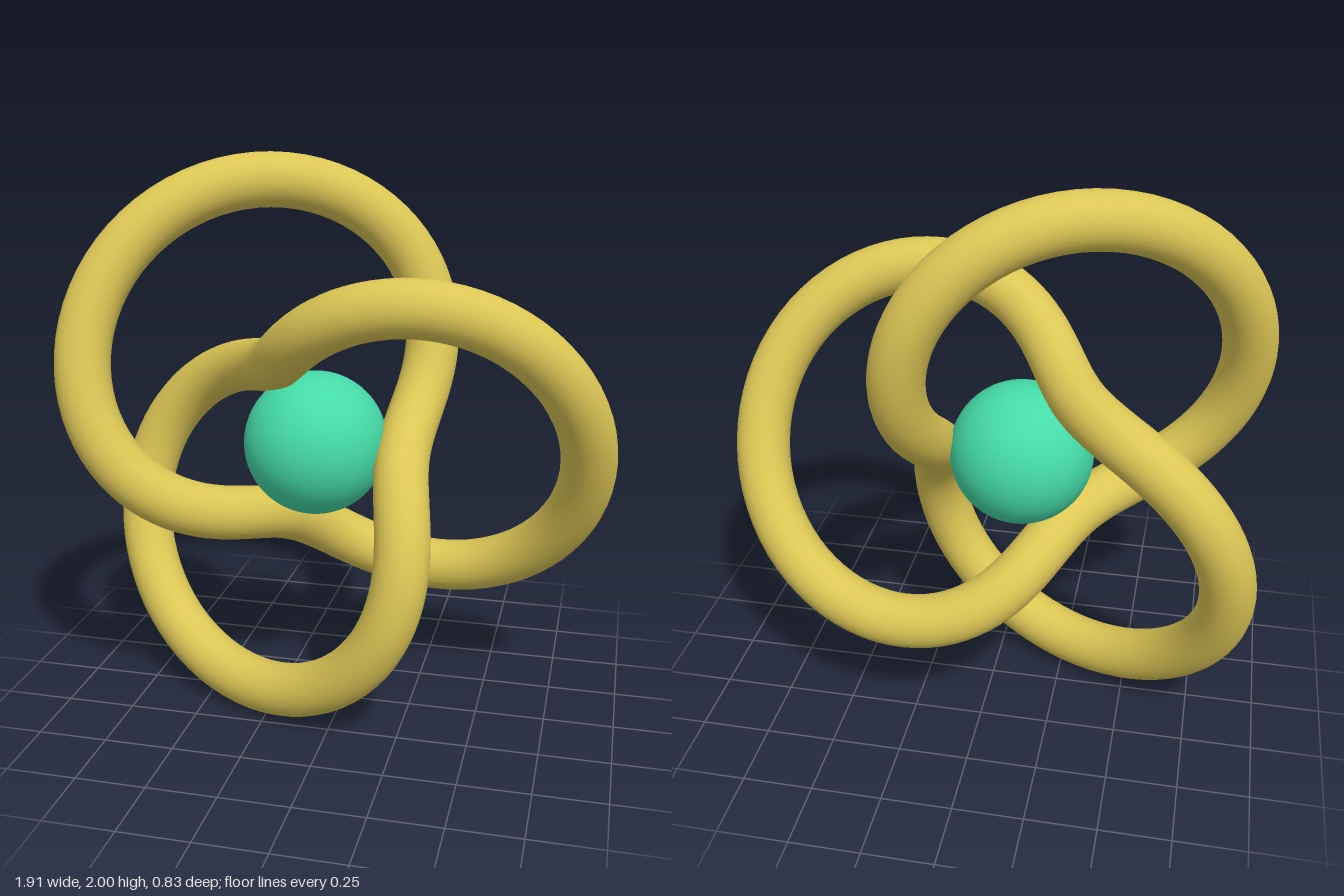
import * as THREE from 'three';

const SCALE = 0.6395; // knot radius unit

export function createModel() {
  const gold = new THREE.MeshStandardMaterial({ color: 0xdcc655 });
  gold.name = 'gold';
  const green = new THREE.MeshStandardMaterial({ color: 0x45dba8 });
  green.name = 'seaGreen';

  const group = new THREE.Group();
  group.name = 'knotAroundBall';

  // Trefoil tube: two turns round the axis, three lobes
  const knot = new THREE.Mesh(
    new THREE.TorusKnotGeometry(SCALE, 0.15 * SCALE, 240, 32, 2, 3), gold);
  knot.name = 'trefoilKnot';

  // Ball held in the middle of the knot
  const ball = new THREE.Mesh(new THREE.SphereGeometry(0.4 * SCALE, 48, 32), green);
  ball.name = 'centreBall';

  // The knot reaches further to +x, so its axis sits left of centre
  for (const part of [knot, ball]) {
    part.position.set(-0.102, 1, 0);
    group.add(part);
  }
  return group;
}
